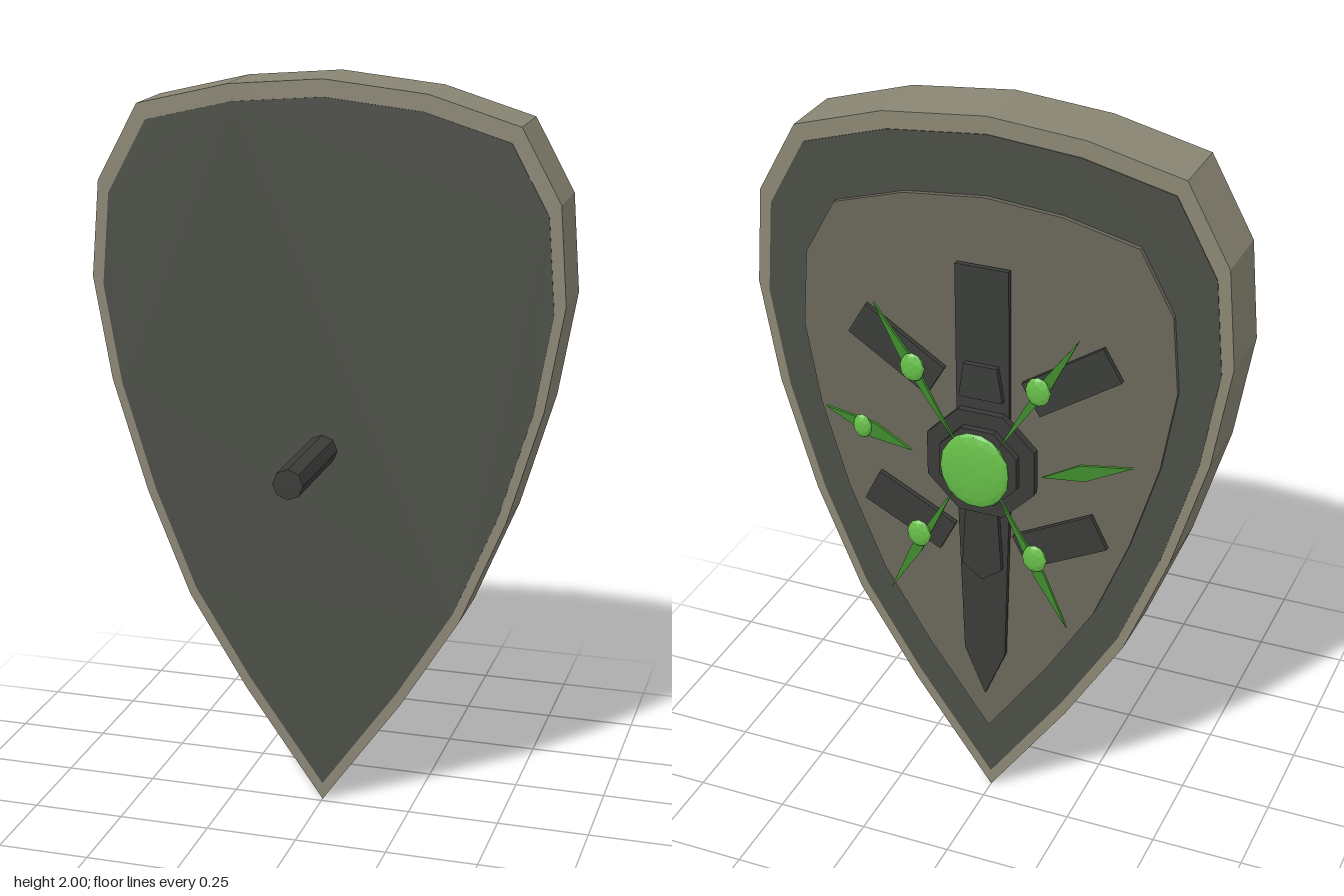
import * as THREE from 'three';

const material = (color) => new THREE.MeshStandardMaterial({ color, flatShading: true });
const RIM = material(0x8a8674), PANEL = material(0x4b4d46), PLATE = material(0x69665a);
const DARK = material(0x3a3c39), LEAF = material(0x3f8a2c), GEM = material(0x66bf48);
const CENTRE = 1.075; // height of the emblem

// Flat slab with the given outline between two depths
function slab(name, points, zBack, zFront, mat) {
  const shape = new THREE.Shape(points.map(([x, y]) => new THREE.Vector2(x, y)));
  const geo = new THREE.ExtrudeGeometry(shape, { depth: zFront - zBack, bevelEnabled: false });
  geo.translate(0, 0, zBack);
  const mesh = new THREE.Mesh(geo, mat);
  mesh.name = name;
  return mesh;
}

// Outline scaled about the middle of the shield
const scaled = (points, s) => points.map(([x, y]) => [x * s, 1.03 + (y - 1.03) * s]);

// Regular polygon around the emblem centre
const ring = (r, n) => Array.from({ length: n }, (_, i) => {
  const a = ((i + 0.5) / n) * Math.PI * 2;
  return [r * Math.cos(a), CENTRE + r * Math.sin(a)];
});

// Slim diamond from a to b, widest at fraction t
function diamond([ax, ay], [bx, by], width, t) {
  const dx = bx - ax, dy = by - ay, len = Math.hypot(dx, dy);
  const nx = (-dy / len) * width / 2, ny = (dx / len) * width / 2;
  const mx = ax + dx * t, my = ay + dy * t;
  return [[ax, ay], [mx - nx, my - ny], [bx, by], [mx + nx, my + ny]];
}

// Faceted, flattened stone
function stone(name, x, y, z, rx, ry, rz, detail) {
  const mesh = new THREE.Mesh(new THREE.IcosahedronGeometry(1, detail), GEM);
  mesh.scale.set(rx, ry, rz);
  mesh.position.set(x, y, z);
  mesh.name = name;
  return mesh;
}

export function createModel() {
  const group = new THREE.Group();
  group.name = 'shield';

  // Body: rim, dark inset panel and raised back plate
  const outline = [
    [0, 0], [0.22, 0.31], [0.38, 0.57], [0.5, 0.86], [0.592, 1.17], [0.64, 1.45],
    [0.62, 1.71], [0.515, 1.9], [0.275, 1.972], [0, 2], [-0.255, 1.978], [-0.505, 1.918],
    [-0.618, 1.71], [-0.64, 1.45], [-0.592, 1.17], [-0.497, 0.86], [-0.38, 0.57], [-0.22, 0.31],
  ];
  group.add(slab('rim', outline, -0.195, -0.012, RIM));
  group.add(slab('panel', scaled(outline, 0.953), -0.197, -0.01, PANEL));
  group.add(slab('backPlate', scaled(outline, 0.79), -0.21, -0.19, PLATE));

  // Handle on the front
  const handle = new THREE.Mesh(new THREE.CylinderGeometry(0.041, 0.041, 0.32, 8), DARK);
  handle.rotation.x = Math.PI / 2;
  handle.position.set(0, 1.02, 0.145);
  handle.name = 'handle';
  group.add(handle);

  // Dark emblem: upright blades, trims and hub
  const emblem = new THREE.Group();
  emblem.name = 'emblem';
  group.add(emblem);
  emblem.add(
    slab('topBlade', [[-0.072, 1.62], [-0.072, 1.2], [0.072, 1.2], [0.072, 1.62]], -0.232, -0.218, DARK),
    slab('bottomBlade', [[-0.072, 0.95], [-0.058, 0.48], [0, 0.34], [0.058, 0.48], [0.072, 0.95]], -0.232, -0.218, DARK),
    slab('topTrim', [[-0.06, 1.26], [0.06, 1.26], [0.045, 1.355], [-0.045, 1.355]], -0.247, -0.23, DARK),
    slab('bottomTrim', [[0, 0.72], [0.055, 0.76], [0.045, 0.93], [-0.045, 0.93], [-0.055, 0.76]], -0.247, -0.23, DARK),
    slab('hub', ring(0.16, 8), -0.25, -0.228, DARK),
    slab('hubStep', ring(0.115, 8), -0.268, -0.25, DARK),
    slab('hubCore', ring(0.07, 8), -0.275, -0.2, DARK),
  );

  // Side blades, mirrored left and right
  const upper = [[0.32, 1.46], [0.37, 1.375], [0.155, 1.235], [0.105, 1.32]];
  const lower = [[0.295, 0.975], [0.34, 0.885], [0.125, 0.777], [0.08, 0.865]];
  for (const s of [-1, 1]) {
    for (const blade of [upper, lower]) {
      emblem.add(slab('sideBlade', blade.map(([x, y]) => [x * s, y]), -0.232, -0.218, DARK));
    }
  }

  // Green spikes, each with a small stone, and side leaves
  for (const s of [-1, 1]) {
    for (const [tip, bead] of [[[0.275, 1.495], [0.17, 1.335]], [[0.25, 0.65], [0.162, 0.845]]]) {
      const root = [0.06, CENTRE + Math.sign(tip[1] - CENTRE) * 0.07];
      const points = diamond(root, tip, 0.03, 0.6).map(([x, y]) => [x * s, y]);
      emblem.add(slab('spike', points, -0.278, -0.27, LEAF));
      emblem.add(stone('spikeStone', bead[0] * s, bead[1], -0.281, 0.034, 0.04, 0.012, 1));
    }
    const leaf = diamond([0.18, 1.09], [0.42, 1.17], 0.045, 0.45).map(([x, y]) => [x * s, y]);
    emblem.add(slab('sideLeaf', leaf, -0.278, -0.27, LEAF));
  }
  emblem.add(stone('leafStone', 0.315, 1.135, -0.281, 0.026, 0.034, 0.012, 1));
  emblem.add(stone('centreStone', 0, CENTRE, -0.287, 0.095, 0.108, 0.018, 2));

  return group;
}
